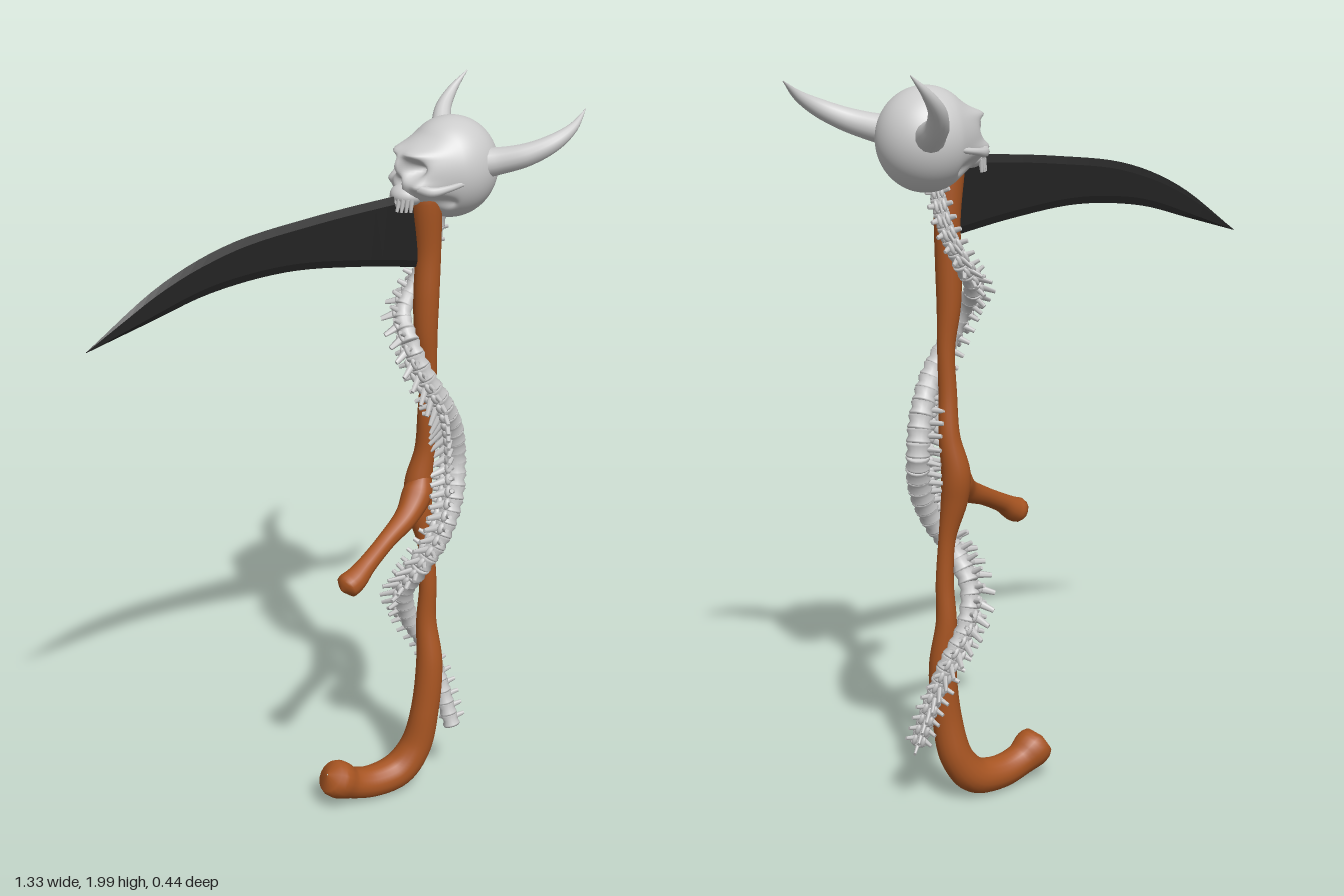
import * as THREE from 'three';
import { mergeGeometries, mergeVertices } from 'three/addons/utils/BufferGeometryUtils.js';

const V = (x, y, z) => new THREE.Vector3(x, y, z);
const bone = new THREE.MeshStandardMaterial({ color: 0xcccccc });
const wood = new THREE.MeshStandardMaterial({ color: 0xa85522 });
const steel = new THREE.MeshStandardMaterial({ color: 0x222222, flatShading: true, side: THREE.DoubleSide });

function add(parent, name, geometry, material) {
  const mesh = new THREE.Mesh(geometry, material);
  mesh.name = name;
  parent.add(mesh);
  return mesh;
}

// Tube through points [x, y, z, radius] with a radius that changes along it
function sweep(pts, segs = 60, sides = 14) {
  const curve = new THREE.CatmullRomCurve3(pts.map(p => V(p[0], p[1], p[2])));
  const radii = new THREE.CatmullRomCurve3(pts.map((p, i) => V(p[3], i * 0.05, 0)));
  const geo = new THREE.TubeGeometry(curve, segs, 1, sides);
  const pos = geo.attributes.position, v = V();
  for (let i = 0; i <= segs; i++) {
    const c = curve.getPointAt(i / segs);
    const r = Math.max(0.001, radii.getPoint(curve.getUtoTmapping(i / segs)).x);
    for (let j = 0; j <= sides; j++) {
      const k = i * (sides + 1) + j;
      v.fromBufferAttribute(pos, k).sub(c).multiplyScalar(r).add(c);
      pos.setXYZ(k, v.x, v.y, v.z);
    }
  }
  return smooth(geo);
}

// Weld the seams and give smooth normals
function smooth(geo) {
  geo.deleteAttribute('uv');
  geo.deleteAttribute('normal');
  const g = mergeVertices(geo, 1e-5);
  g.computeVertexNormals();
  return g;
}

// Curved blade: six-sided cross-sections between an upper and a lower edge
function bladeGeometry() {
  const edge = list => new THREE.CatmullRomCurve3(list.map(p => V(p[0], p[1], 0)));
  const top = edge([[-0.66, 1.48], [-0.46, 1.62], [-0.28, 1.695], [-0.04, 1.735], [0.27, 1.765]]);
  const low = edge([[-0.66, 1.478], [-0.49, 1.53], [-0.33, 1.578], [-0.12, 1.602], [0.09, 1.586], [0.295, 1.555]]);
  const pos = [], idx = [], n = 28;
  for (let i = 0; i <= n; i++) {
    const a = top.getPointAt(i / n), b = low.getPointAt(i / n);
    const rim = Math.min(0.2, 0.02 / Math.max(a.distanceTo(b), 0.001));
    const th = 0.006 * Math.min(1, i / 4);
    for (const [t, s] of [[0, 0], [rim, 1], [1 - rim, 1], [1, 0], [1 - rim, -1], [rim, -1]]) {
      const p = a.clone().lerp(b, t);
      pos.push(p.x, p.y, 0.003 + 0.033 * (p.x + 0.66) + s * th);
    }
    if (i < n) for (let j = 0; j < 6; j++) {
      const p = i * 6 + j, q = i * 6 + (j + 1) % 6;
      idx.push(p, q, p + 6, q, q + 6, p + 6);
    }
  }
  const e = n * 6;
  for (let j = 1; j < 5; j++) idx.push(e, e + j, e + j + 1);
  const geo = new THREE.BufferGeometry();
  geo.setAttribute('position', new THREE.Float32BufferAttribute(pos, 3));
  geo.setIndex(idx);
  geo.computeVertexNormals();
  return geo;
}

// Cranium and face, looking along -x: a sphere with bulges and sockets
function skullGeometry() {
  const geo = new THREE.SphereGeometry(1, 112, 80).rotateY(Math.PI);
  const pos = geo.attributes.position, step = THREE.MathUtils.smoothstep;
  // y, z, size in y, size in z, push towards the face
  const marks = [[1.79, 0, 0.018, 0.011, -0.026], [1.835, 0, 0.02, 0.009, 0.012]];
  for (const s of [-1, 1]) marks.push(
    [1.828, s * 0.042, 0.021, 0.023, -0.055],
    [1.868, s * 0.042, 0.011, 0.03, 0.014],
    [1.785, s * 0.072, 0.014, 0.02, 0.018],
    [1.745, s * 0.075, 0.018, 0.02, -0.03]);
  for (let i = 0; i < pos.count; i++) {
    const dx = pos.getX(i), dy = pos.getY(i), dz = pos.getZ(i);
    const f = step(-dx, 0.3, 0.9) * step(dy, -0.8, -0.35) * (1 - step(dy, 0.35, 0.75));
    let x = 0.365 + dx * 0.126 - 0.042 * f;
    const y = 1.811 + dy * 0.131;
    const z = dz * 0.12 * (1 - 0.1 * step(-dx, 0.2, 0.9));
    const front = step(-dx, 0.15, 0.5);
    for (const [my, mz, sy, sz, d] of marks)
      x -= front * d * Math.exp(-(((y - my) / sy) ** 2 + ((z - mz) / sz) ** 2));
    pos.setXYZ(i, x, y, z + 0.017 + 0.008 * f);
  }
  return smooth(geo);
}

// One vertebra: y along the spine, z towards the rear spike
function vertebraGeometry() {
  const body = new THREE.LatheGeometry([[0, -0.017], [0.025, -0.017], [0.027, -0.012], [0.022, 0],
    [0.027, 0.012], [0.025, 0.017], [0, 0.017]].map(p => new THREE.Vector2(...p)), 14);
  const spike = (r0, r1, len) => new THREE.CylinderGeometry(r1, r0, len, 6).translate(0, len / 2, 0);
  const parts = [body, spike(0.011, 0.006, 0.05).scale(0.7, 1, 1).rotateX(1.95).translate(0, 0, 0.016)];
  for (const s of [-1, 1]) {
    parts.push(spike(0.008, 0.005, 0.034).rotateX(Math.PI / 2).rotateY(s * 0.95).translate(s * 0.012, 0.002, 0.014));
    parts.push(new THREE.SphereGeometry(0.01, 8, 6).scale(0.8, 1.5, 0.8).translate(s * 0.013, 0, 0.024));
  }
  return mergeGeometries(parts.map(p => p.toNonIndexed()));
}

export function createModel() {
  const model = new THREE.Group();
  model.name = 'scythe';

  // Wooden shaft with hooked foot, and the side grip
  add(model, 'shaft', sweep([
    [0.275, 1.775, 0.04, 0.002], [0.277, 1.765, 0.04, 0.036], [0.28, 1.73, 0.04, 0.04], [0.29, 1.6, 0.037, 0.034],
    [0.287, 1.48, 0.038, 0.034], [0.288, 1.38, 0.038, 0.031], [0.298, 1.27, 0.038, 0.023], [0.297, 1.15, 0.035, 0.024],
    [0.3, 1.04, 0.026, 0.028], [0.285, 0.94, 0.02, 0.038], [0.285, 0.87, 0.028, 0.036], [0.302, 0.76, 0.04, 0.023],
    [0.308, 0.64, 0.045, 0.024], [0.307, 0.53, 0.042, 0.028], [0.312, 0.4, 0.055, 0.037], [0.3, 0.25, 0.056, 0.04],
    [0.277, 0.13, 0.045, 0.045], [0.225, 0.065, 0.038, 0.049], [0.14, 0.05, 0.036, 0.046],
    [0.07, 0.066, 0.036, 0.045], [0.03, 0.088, 0.036, 0.054], [0.003, 0.107, 0.036, 0.046], [-0.008, 0.115, 0.036, 0.002],
  ], 150, 18), wood);
  add(model, 'sideGrip', sweep([
    [0.295, 1.0, 0.03, 0.012], [0.275, 0.925, 0.035, 0.04], [0.225, 0.875, 0.063, 0.033], [0.14, 0.832, 0.095, 0.025],
    [0.06, 0.79, 0.125, 0.026], [0.015, 0.762, 0.138, 0.033], [-0.012, 0.75, 0.141, 0.032], [-0.026, 0.742, 0.143, 0.002],
  ], 60), wood);

  add(model, 'blade', bladeGeometry(), steel);

  // Skull with upper jaw, teeth, cheekbones and horns
  const skull = new THREE.Group();
  skull.name = 'skull';
  model.add(skull);
  add(skull, 'cranium', skullGeometry(), bone);
  add(skull, 'upperJaw', new THREE.SphereGeometry(1, 24, 16).scale(0.046, 0.03, 0.046).translate(0.232, 1.757, 0.026), bone);
  for (let i = 0; i < 10; i++) {
    const a = (i - 4.5) * 0.29;
    const tooth = add(skull, 'tooth', new THREE.CylinderGeometry(0.0075, 0.004, 0.034, 7), bone);
    tooth.position.set(0.229 - Math.cos(a) * 0.039, 1.736, 0.026 + Math.sin(a) * 0.04);
    tooth.rotation.z = -0.25 * Math.cos(a);
  }
  for (const s of [-1, 1]) add(skull, 'cheekbone', sweep([
    [0.225, 1.785, 0.026 + s * 0.055, 0.012], [0.25, 1.778, 0.022 + s * 0.09, 0.013],
    [0.29, 1.785, 0.018 + s * 0.108, 0.009], [0.335, 1.792, 0.017 + s * 0.108, 0.007]], 20, 8), bone);
  add(skull, 'leftHorn', sweep([
    [0.40, 1.825, 0.075, 0.044], [0.445, 1.835, 0.115, 0.036], [0.5, 1.855, 0.163, 0.03],
    [0.56, 1.885, 0.193, 0.023], [0.615, 1.918, 0.197, 0.013], [0.665, 1.957, 0.18, 0.001]], 40), bone);
  add(skull, 'rightHorn', sweep([
    [0.40, 1.82, -0.05, 0.044], [0.425, 1.835, -0.095, 0.036], [0.445, 1.862, -0.15, 0.029],
    [0.475, 1.905, -0.192, 0.022], [0.517, 1.948, -0.213, 0.013], [0.565, 1.995, -0.216, 0.001]], 40), bone);

  // Spine winding round the shaft: x, y, z, then spike direction x, z, then size
  const turns = [
    [0.335, 1.71, 0.025, 0.5, -0.8, 0.75], [0.328, 1.6, -0.005, 0.5, -1, 0.8], [0.29, 1.5, -0.02, 0, -1, 0.85],
    [0.24, 1.43, 0, -0.8, -0.6, 0.9], [0.23, 1.36, 0.06, -1, -0.1, 0.95], [0.255, 1.28, 0.088, -0.9, 0.3, 1.05],
    [0.31, 1.19, 0.09, -0.9, 0.3, 1.15], [0.36, 1.1, 0.065, -0.9, 0, 1.2], [0.382, 1, 0.05, -0.9, -0.1, 1.2],
    [0.36, 0.9, 0.076, -0.9, 0.1, 1.2], [0.312, 0.8, 0.09, -0.9, 0.2, 1.15], [0.265, 0.72, 0.075, -1, 0, 1.1],
    [0.25, 0.62, 0.015, -0.9, -0.5, 1.05], [0.282, 0.52, -0.008, -0.3, -1, 1], [0.335, 0.42, 0.005, 0.2, -1, 0.95],
    [0.36, 0.31, 0.04, 0.6, -0.8, 0.95], [0.375, 0.205, 0.075, 0.6, -0.7, 0.9]];
  const path = new THREE.CatmullRomCurve3(turns.map(t => V(t[0], t[1], t[2])));
  const back = new THREE.CatmullRomCurve3(turns.map((t, i) => V(t[3], i, t[4])));
  const size = new THREE.CatmullRomCurve3(turns.map((t, i) => V(t[5], i, 0)));
  const spine = new THREE.Group();
  spine.name = 'spine';
  model.add(spine);
  const vertebra = vertebraGeometry();
  const count = 50;
  for (let i = 0; i < count; i++) {
    const u = i / (count - 1), t = path.getUtoTmapping(u);
    const up = path.getTangentAt(u).negate();
    const z = back.getPoint(t).setY(0);
    z.addScaledVector(up, -z.dot(up)).normalize();
    const mesh = add(spine, 'vertebra', vertebra, bone);
    mesh.quaternion.setFromRotationMatrix(new THREE.Matrix4().makeBasis(V().crossVectors(up, z), up, z));
    mesh.position.copy(path.getPointAt(u));
    const s = size.getPoint(t).x;
    mesh.scale.set(s, 1.1, s);
  }
  return model;
}
